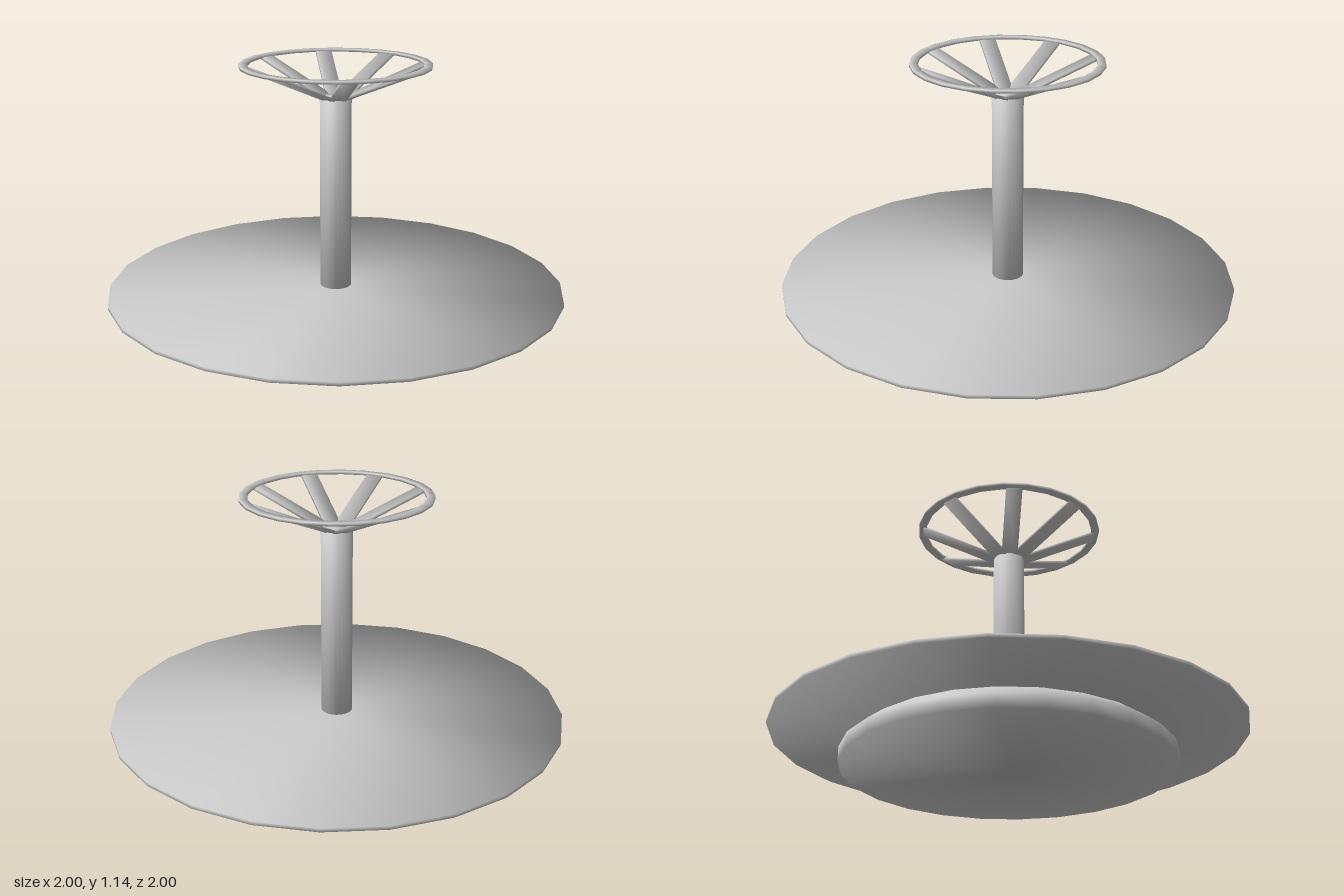
import * as THREE from 'three';

const SIDES = 24;
const material = new THREE.MeshStandardMaterial({ color: 0xcccccc });

function addMesh(parent, name, geometry) {
  const mesh = new THREE.Mesh(geometry, material);
  mesh.name = name;
  parent.add(mesh);
  return mesh;
}

// Turned solid; each profile point is [radius, y, outward normal, upward normal],
// so the shading flows softly around the edges.
function turned(profile) {
  const geometry = new THREE.LatheGeometry(profile.map(([r, y]) => new THREE.Vector2(r, y)), SIDES);
  const normal = geometry.attributes.normal;
  for (let i = 0; i < normal.count; i++) {
    const angle = Math.floor(i / profile.length) / SIDES * Math.PI * 2;
    const [, , out, up] = profile[i % profile.length];
    normal.setXYZ(i, Math.sin(angle) * out, up, Math.cos(angle) * out);
  }
  return geometry;
}

// Plain round slab or post with softened rims
function softDisc(radius, bottom, top) {
  return turned([
    [0, bottom, 0, -0.45], [radius, bottom, 0.89, -0.45],
    [radius, top, 0.89, 0.45], [0, top, 0, 0.45],
  ]);
}

// Box whose shading is blended across its corners
function softBox(width, height, depth) {
  const geometry = new THREE.BoxGeometry(width, height, depth);
  const { position, normal } = geometry.attributes;
  const s = Math.sqrt(1 / 3);
  for (let i = 0; i < position.count; i++) {
    normal.setXYZ(i, Math.sign(position.getX(i)) * s, Math.sign(position.getY(i)) * s, Math.sign(position.getZ(i)) * s);
  }
  return geometry;
}

export function createModel() {
  const model = new THREE.Group();
  model.name = 'spinningPlatform';

  // Bevelled foot on the ground
  addMesh(model, 'base', turned([
    [0, 0, 0, -0.45], [0.704, 0, 0.89, -0.45],
    [0.704, 0.06, 0.9, 0.42], [0.635, 0.112, 0.45, 0.89], [0, 0.112, 0, 0.89],
  ]));

  // Thin round floor and the post through it
  addMesh(model, 'platform', softDisc(1, 0.139, 0.155));
  addMesh(model, 'post', softDisc(0.068, 0.11, 1.003));

  // Hand wheel: flat rim on eight sloping spokes
  const wheel = new THREE.Group();
  wheel.name = 'handWheel';
  model.add(wheel);
  const outer = 0.41, inner = 0.375, low = 1.132, high = 1.144, d = Math.SQRT1_2;
  addMesh(wheel, 'rim', turned([
    [inner, low, -d, -d], [outer, low, d, -d],
    [outer, high, d, d], [inner, high, -d, d], [inner, low, -d, -d],
  ]));

  const start = new THREE.Vector2(0.045, 0.993), end = new THREE.Vector2(0.385, 1.134);
  const slope = end.clone().sub(start);
  for (let i = 0; i < 8; i++) {
    const arm = new THREE.Group();
    arm.name = 'spoke' + (i + 1);
    arm.rotation.y = (i + 0.5) * Math.PI / 4;
    const bar = addMesh(arm, 'spokeBar', softBox(slope.length(), 0.012, 0.07));
    bar.position.set((start.x + end.x) / 2, (start.y + end.y) / 2, 0);
    bar.rotation.z = slope.angle();
    wheel.add(arm);
  }
  return model;
}
